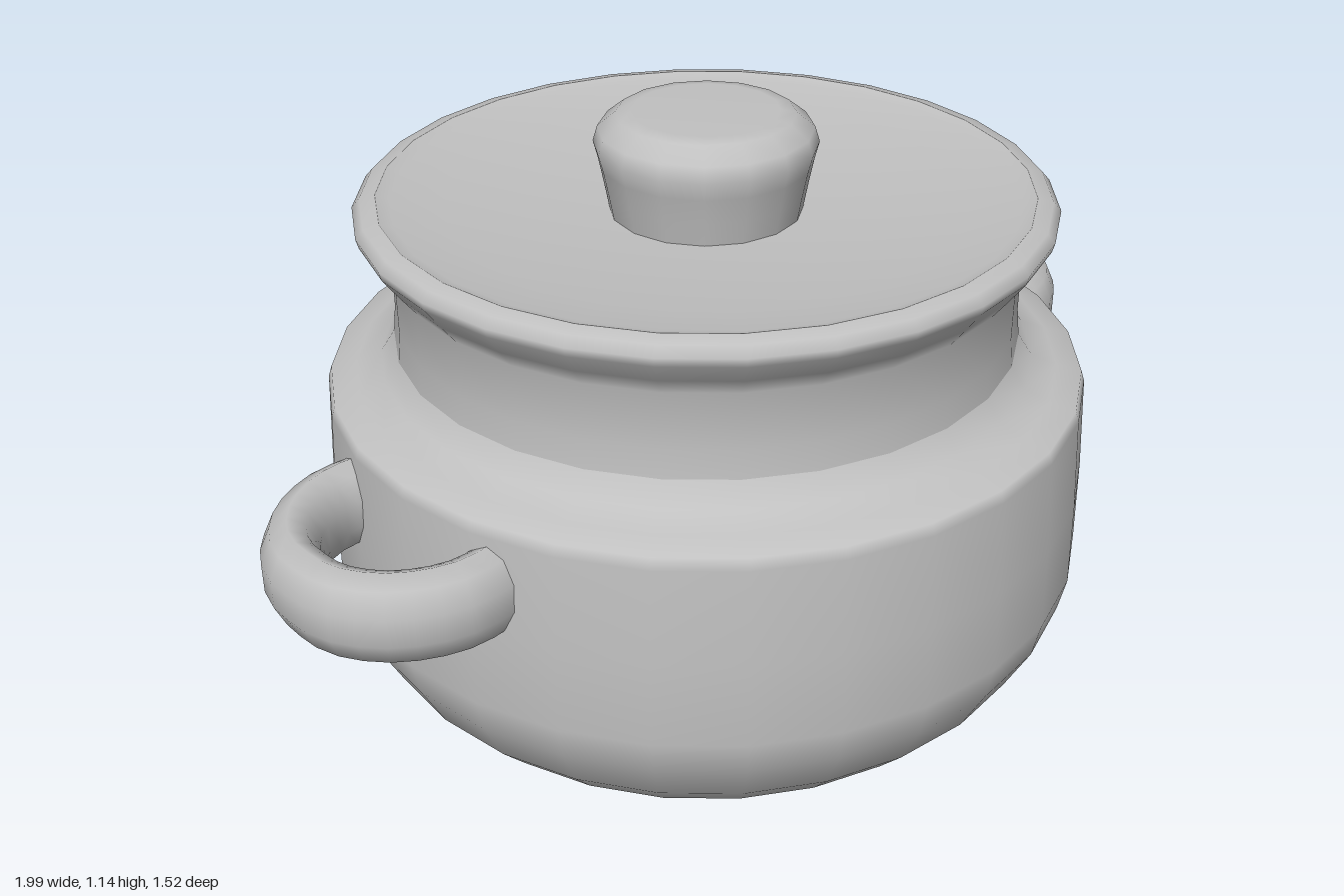
import * as THREE from 'three';

const clay = new THREE.MeshStandardMaterial({ color: 0xc0c0c0 });
clay.name = 'grey clay';

// Turned part from [radius, height] pairs, ordered from the bottom outwards and up
function turned(name, profile, segments = 28) {
  const points = profile.map(([r, y]) => new THREE.Vector2(r, y));
  const mesh = new THREE.Mesh(new THREE.LatheGeometry(points, segments), clay);
  mesh.name = name;
  return mesh;
}

// Half-oval loop handle with a tall oval cross-section, its ends sunk in the wall
function handle(name, side) {
  const path = new THREE.CatmullRomCurve3(
    [[0.66, 0.195], [0.78, 0.2], [0.88, 0.15], [0.936, 0.07], [0.945, 0],
      [0.936, -0.07], [0.88, -0.15], [0.78, -0.2], [0.66, -0.195]]
      .map(([x, z]) => new THREE.Vector3(x, 0, z)));
  const geometry = new THREE.TubeGeometry(path, 20, 0.055, 10);
  geometry.scale(1, 1.62, 1);
  const mesh = new THREE.Mesh(geometry, clay);
  mesh.name = name;
  mesh.position.y = 0.503;
  if (side < 0) mesh.rotation.y = Math.PI;
  return mesh;
}

export function createModel() {
  const pot = new THREE.Group();
  pot.name = 'lidded pot';

  pot.add(turned('base', [[0, 0], [0.605, 0]]));

  // Rounded belly with a shoulder
  pot.add(turned('belly', [
    [0.605, 0], [0.635, 0.02], [0.695, 0.085], [0.745, 0.18], [0.76, 0.25],
    [0.757, 0.42], [0.747, 0.61], [0.74, 0.632], [0.69, 0.643], [0.64, 0.662],
    [0.612, 0.705],
  ]));

  // Straight neck flaring into the rim
  pot.add(turned('neck', [
    [0.612, 0.705], [0.606, 0.76], [0.606, 0.87], [0.635, 0.908],
    [0.665, 0.95], [0.67, 0.968], [0.655, 0.985], [0.625, 0.991],
  ]));

  // Shallow dished lid
  pot.add(turned('lid', [
    [0.625, 0.991], [0.6, 0.982], [0.5, 0.968], [0.35, 0.953], [0.17, 0.942], [0, 0.94],
  ]));

  // Mushroom knob
  pot.add(turned('knob', [
    [0.185, 0.935], [0.195, 0.99], [0.205, 1.04], [0.214, 1.075],
    [0.205, 1.105], [0.17, 1.133], [0.14, 1.138], [0, 1.138],
  ], 16));

  pot.add(handle('leftHandle', 1), handle('rightHandle', -1));
  return pot;
}
